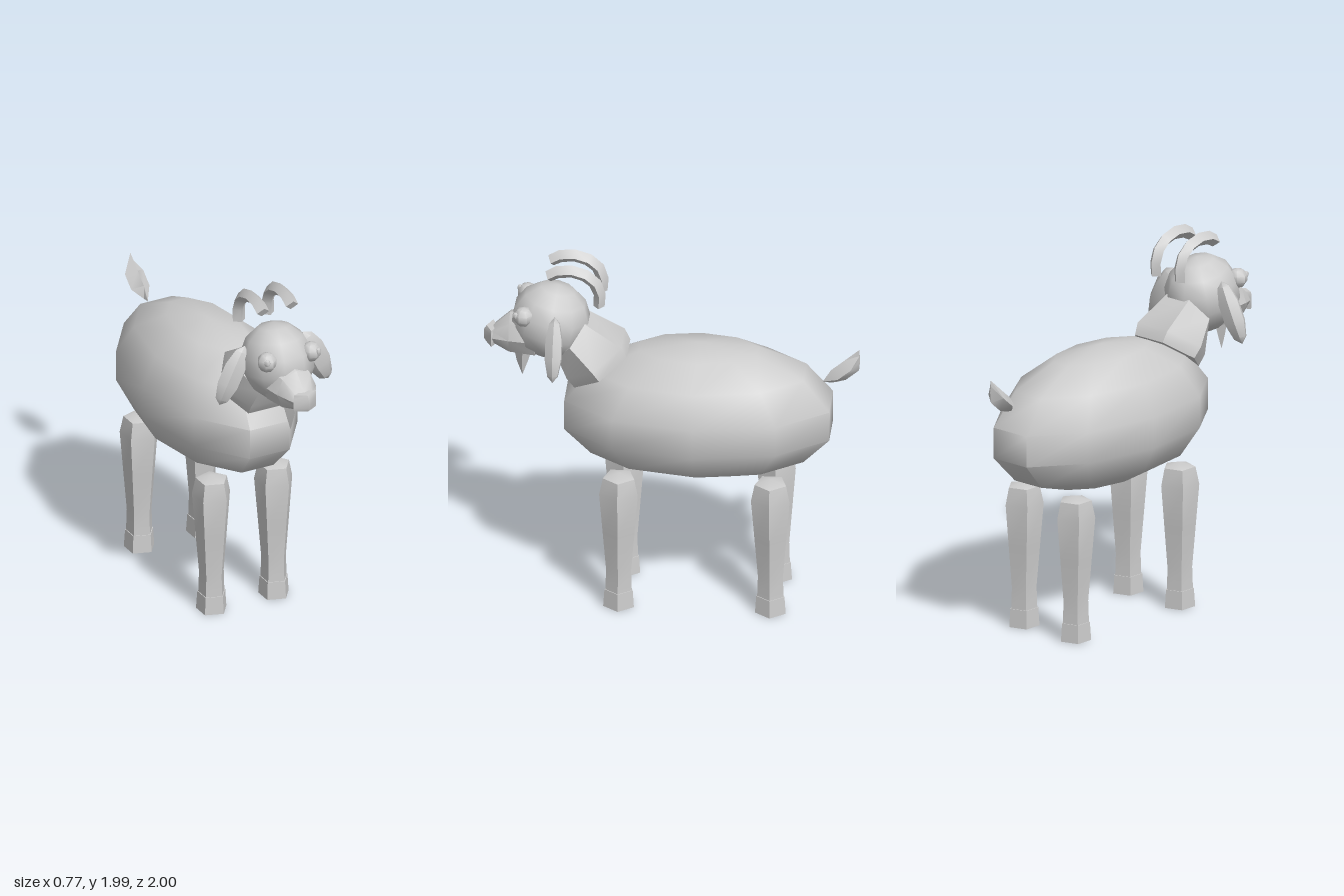
import * as THREE from 'three';
import { toCreasedNormals } from 'three/addons/utils/BufferGeometryUtils.js';

const coat = new THREE.MeshStandardMaterial({ color: 0xcccccc });
coat.name = 'pale grey';

// Rings are [y, z, half width in x, half depth, tilt of the axis from up towards the front].
function loft(rings, sides) {
  const pos = [], idx = [];
  for (const [y, z, rx, r, t = 0] of rings) {
    for (let j = 0; j < sides; j++) {
      const a = (j / sides) * Math.PI * 2;
      const v = r * Math.sin(a);
      pos.push(rx * Math.cos(a), y - v * Math.sin(t), z + v * Math.cos(t));
    }
  }
  const last = rings.length - 1;
  for (let i = 0; i < last; i++) {
    for (let j = 0; j < sides; j++) {
      const k = (j + 1) % sides;
      const a = i * sides + j, b = i * sides + k, c = a + sides, d = b + sides;
      idx.push(a, c, b, b, c, d);
    }
  }
  // end caps
  for (let j = 1; j < sides - 1; j++) {
    const e = last * sides;
    idx.push(0, j, j + 1, e, e + j + 1, e + j);
  }
  const g = new THREE.BufferGeometry();
  g.setAttribute('position', new THREE.Float32BufferAttribute(pos, 3));
  g.setIndex(idx);
  return g;
}

export function createModel() {
  const model = new THREE.Group();
  model.name = 'goat';

  function add(name, geometry, x = 0, y = 0, z = 0, crease = 0.75) {
    const mesh = new THREE.Mesh(toCreasedNormals(geometry, crease), coat);
    mesh.name = name;
    mesh.position.set(x, y, z);
    model.add(mesh);
    return mesh;
  }

  // Barrel body, fuller above than below
  const heights = [0.762, 0.78, 0.86, 1.01, 1.18, 1.352, 1.468, 1.51];
  add('body', loft(heights.map((y, i) => {
    const s = Math.sin((i / 7) * Math.PI);
    return [y, -0.142, 0.395 * s, 0.76 * s];
  }), 10), 0, 0, 0, 1.1);

  // Neck bending forward into the head
  add('neck', loft([
    [1.352, 0.37, 0.2, 0.197, 0.61],
    [1.41, 0.405, 0.215, 0.203, 0.6],
    [1.525, 0.53, 0.16, 0.147, 0.96],
  ], 6));

  // Head
  const head = add('head', new THREE.SphereGeometry(1, 10, 7).scale(0.195, 0.212, 0.215),
    0, 1.612, 0.645, 1.1);
  head.rotation.x = -0.2;
  add('muzzle', loft([
    [1.53, 0.72, 0.14, 0.13, Math.PI / 2],
    [1.528, 0.86, 0.118, 0.115, Math.PI / 2],
    [1.51, 0.95, 0.065, 0.045, Math.PI / 2],
  ], 8));
  add('nose', loft([
    [1.46, 0.955, 0.065, 0.035],
    [1.48, 0.955, 0.068, 0.045],
    [1.53, 0.955, 0.068, 0.045],
    [1.555, 0.955, 0.065, 0.03],
  ], 4));
  add('beard', loft([
    [1.27, 0.795, 0.002, 0.002],
    [1.35, 0.795, 0.025, 0.03],
    [1.45, 0.79, 0.05, 0.055],
  ], 4));

  // Paired parts of the head
  for (const side of [-1, 1]) {
    const name = side > 0 ? 'left' : 'right';
    add(name + 'Horn', loft([
      [1.75, 0.38, 0.037, 0.03, 0],
      [1.82, 0.376, 0.037, 0.032, 0.15],
      [1.885, 0.4, 0.037, 0.036, 0.55],
      [1.93, 0.452, 0.037, 0.037, 1.05],
      [1.952, 0.525, 0.037, 0.037, 1.5],
      [1.945, 0.6, 0.037, 0.037, 1.8],
      [1.917, 0.65, 0.037, 0.033, 2.05],
    ], 4), side * 0.087);

    const ear = add(name + 'Ear', new THREE.SphereGeometry(1, 6, 5).scale(0.073, 0.175, 0.052),
      side * 0.25, 1.562, 0.607);
    ear.rotation.z = side * 0.45;

    add(name + 'Eye', new THREE.SphereGeometry(0.055, 7, 5), side * 0.132, 1.69, 0.778);
    add(name + 'Pupil', new THREE.SphereGeometry(0.019, 6, 4), side * 0.152, 1.705, 0.818);
  }

  // Legs with hooves, each a five-sided column
  for (const [row, z] of [['front', 0.265], ['back', -0.542]]) {
    for (const side of [-1, 1]) {
      const name = row + (side > 0 ? 'Left' : 'Right');
      const rings = (list) => loft(list.map(([y, r]) => [y, z, r, r]), 5);
      add(name + 'Hoof', rings([[0, 0.086], [0.1, 0.079]]), side * 0.187);
      add(name + 'Leg', rings([
        [0.1, 0.074], [0.22, 0.07], [0.45, 0.089], [0.68, 0.108], [0.775, 0.088], [0.8, 0],
      ]), side * 0.187);
    }
  }

  // Upturned tail
  add('tail', loft([
    [1.3, -0.835, 0.004, 0.034, 0],
    [1.345, -0.885, 0.055, 0.048, -0.6],
    [1.405, -0.955, 0.055, 0.048, -0.6],
    [1.468, -0.998, 0.004, 0.034, -1.5],
  ], 4));

  return model;
}
